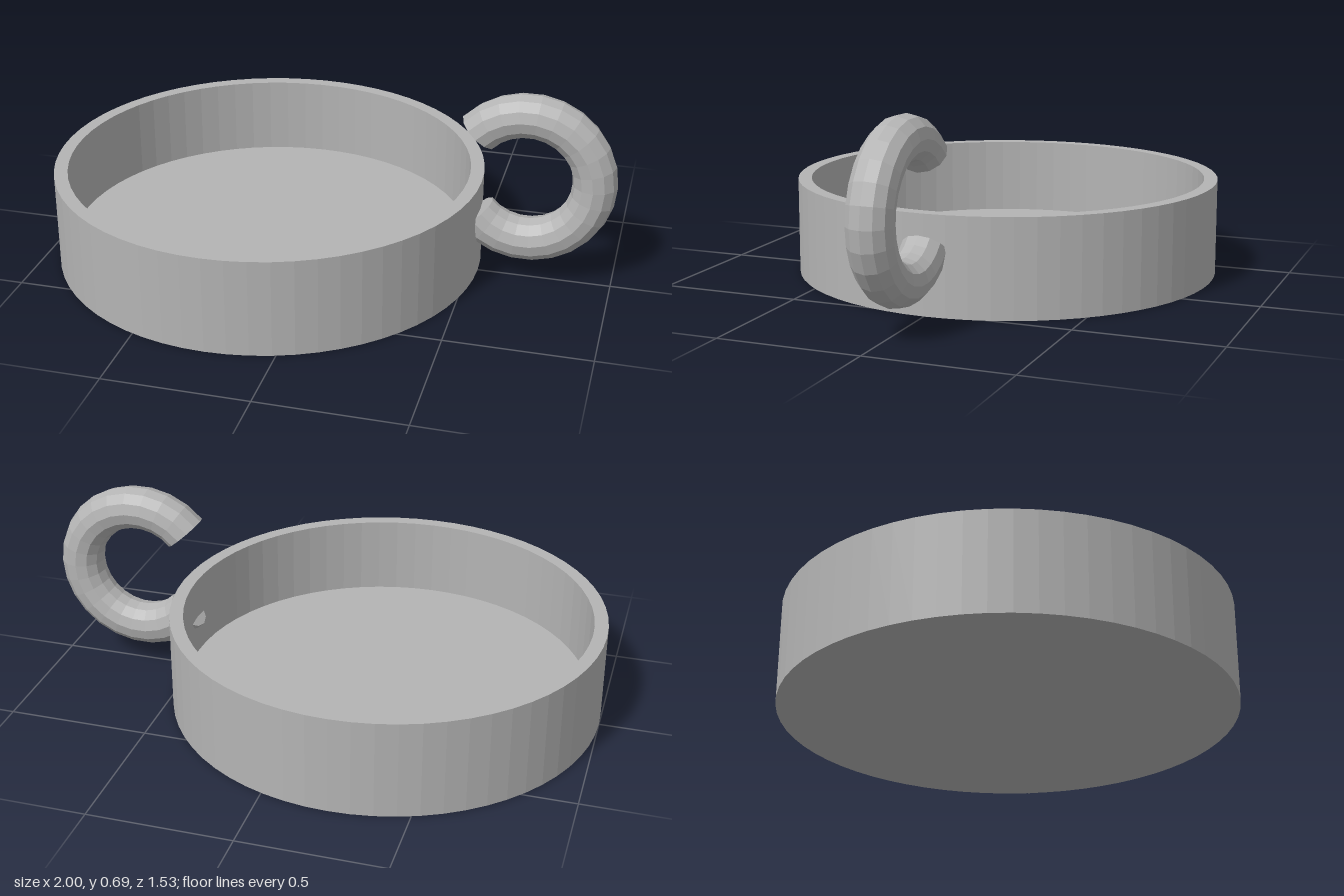
import * as THREE from 'three';

export function createModel() {
  const model = new THREE.Group();
  const grey = new THREE.MeshStandardMaterial({ color: 0xb4b4b4 });
  grey.name = 'plain grey';
  grey.flatShading = true;

  const add = (geometry, name, parent = model) => {
    const mesh = new THREE.Mesh(geometry, grey);
    mesh.name = name;
    parent.add(mesh);
    return mesh;
  };

  // Shallow round dish: underside, outer wall, flat rim, inner wall, floor
  const outer = 0.766, inner = 0.718, height = 0.345, floor = 0.062;
  const profile = [[0, 0], [outer, 0], [outer, height], [inner, height], [inner, floor], [0, floor]]
    .map(([r, y]) => new THREE.Vector2(r, y));
  add(new THREE.LatheGeometry(profile, 64), 'dish').position.x = -0.234;

  // Open ring handle, its lower end sunk through the dish wall
  const handle = new THREE.Group();
  handle.name = 'handle';
  handle.position.set(0.69, 0.384, 0);
  model.add(handle);
  const ring = 0.232, tube = 0.077, sides = 12;
  const half = THREE.MathUtils.degToRad(138.5);
  const arc = new THREE.TorusGeometry(ring, tube, sides, 20, half * 2);
  add(arc.rotateZ(-half), 'handleRing', handle);

  // Flat caps closing both ends of the ring
  for (const side of [1, -1]) {
    const cap = new THREE.CircleGeometry(tube, sides);
    cap.rotateX(-side * Math.PI / 2);
    cap.translate(ring, 0, 0);
    cap.rotateZ(side * half);
    add(cap, side > 0 ? 'upperHandleEnd' : 'lowerHandleEnd', handle);
  }
  return model;
}
